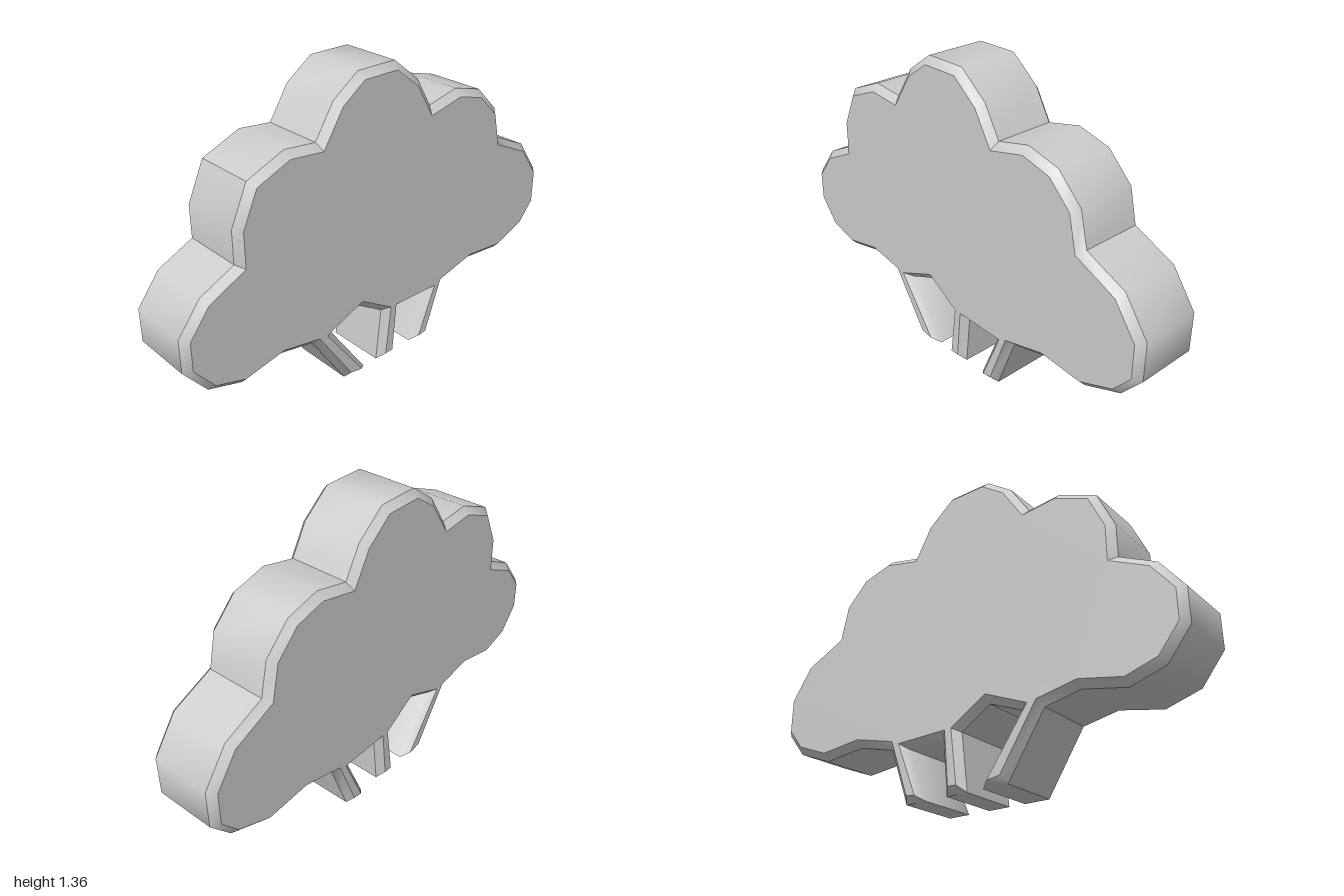
import * as THREE from 'three';
import { toCreasedNormals } from 'three/addons/utils/BufferGeometryUtils.js';

const BEVEL = 0.03;
const HALF_DEPTH = 0.165;

// Outline pieces, walked clockwise from the left-hand edge
const lobes = [
  [[-1, 0.42], [-1, 0.565], [-0.9, 0.695], [-0.745, 0.77]],                       // low side lobe
  [[-0.745, 0.91], [-0.67, 1.075], [-0.5, 1.145], [-0.355, 1.13]],                // shoulder lobe
  [[-0.265, 1.27], [-0.145, 1.355], [0.045, 1.355], [0.175, 1.25], [0.25, 1.12]], // crown lobe
  [[0.405, 1.155], [0.555, 1.115], [0.67, 1.0], [0.705, 0.85]],                   // shoulder lobe
  [[0.89, 0.765], [1, 0.61], [1, 0.44], [0.91, 0.335], [0.74, 0.27]],             // low side lobe
];
const underside = [
  [0.535, 0.29],
  [0.355, 0.245], [0.265, 0], [0.165, 0], [0.26, 0.23],    // slanted leg
  [0.08, 0.23], [0.06, 0], [-0.04, 0], [-0.012, 0.245],    // middle leg
  [-0.15, 0.33],                                           // peak between legs
  [-0.3, 0.27], [-0.115, 0], [-0.23, 0], [-0.4, 0.26],     // slanted leg
  [-0.56, 0.29], [-0.75, 0.25], [-0.9, 0.295],
];

export function createModel() {
  const outline = [...lobes.flat(), ...underside].map(([x, y]) => new THREE.Vector2(x, y));

  // Thick slab with a 45-degree chamfer cut inside the outline on both faces
  const slab = new THREE.ExtrudeGeometry(new THREE.Shape(outline), {
    depth: 2 * (HALF_DEPTH - BEVEL),
    bevelEnabled: true,
    bevelThickness: BEVEL,
    bevelSize: BEVEL,
    bevelOffset: -BEVEL,
    bevelSegments: 1,
  });
  slab.translate(0, 0, BEVEL - HALF_DEPTH);

  // Lobes stay smooth, valleys and chamfer edges stay sharp
  const geometry = toCreasedNormals(slab, THREE.MathUtils.degToRad(42));
  const tree = new THREE.Mesh(geometry, new THREE.MeshStandardMaterial({ color: 0xcccccc }));
  tree.name = 'cloudShapedCanopyWithLegs';

  const group = new THREE.Group();
  group.name = 'cloudTree';
  group.add(tree);
  return group;
}
